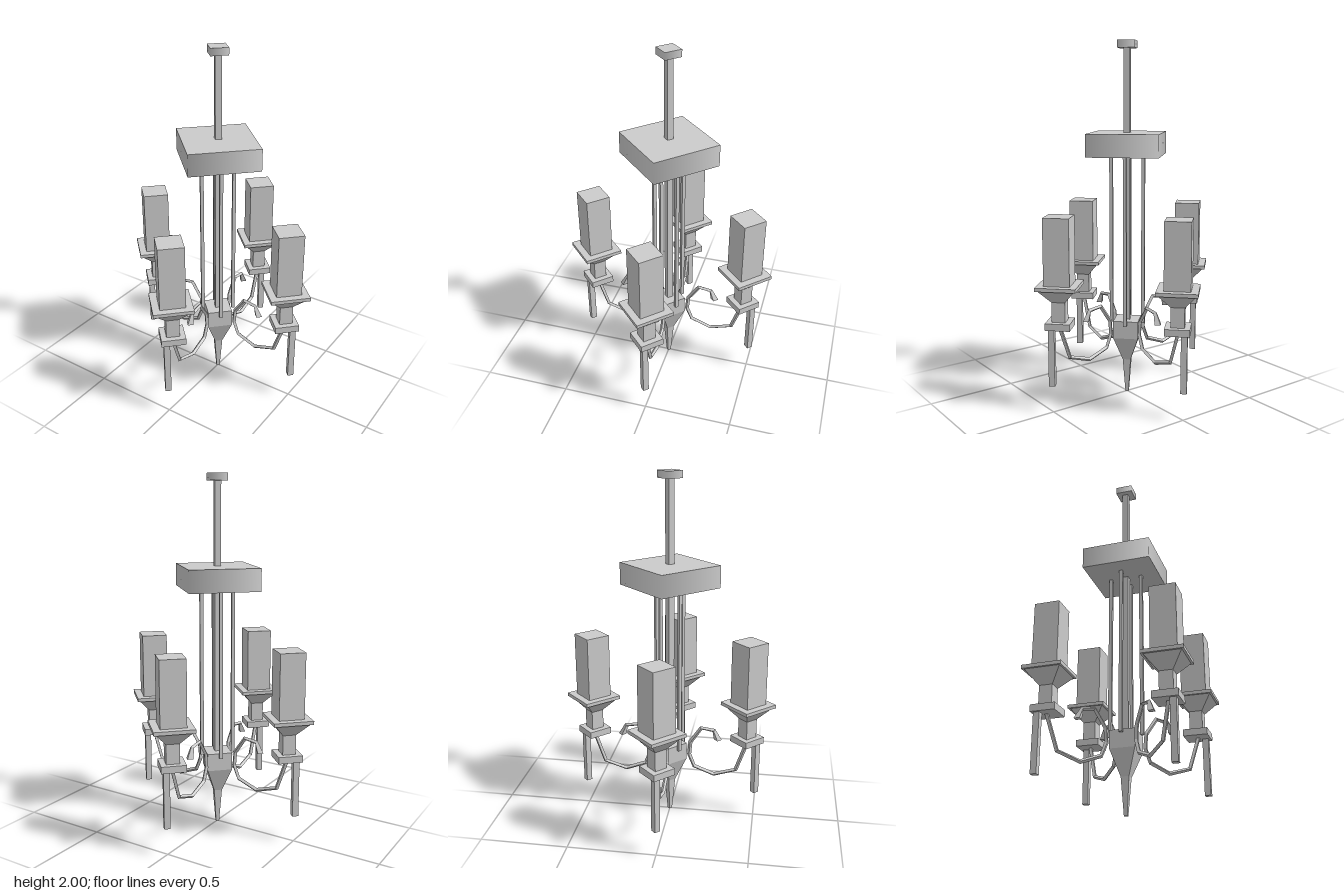
import * as THREE from 'three';

const flat = new THREE.MeshStandardMaterial({ color: 0xcccccc, flatShading: true });
const smooth = new THREE.MeshStandardMaterial({ color: 0xcccccc });

// Four-sided prism or frustum between two heights, corners on the axes
function prism(name, rBottom, rTop, y0, y1, x = 0, z = 0, material = flat) {
  const mesh = new THREE.Mesh(new THREE.CylinderGeometry(rTop, rBottom, y1 - y0, 4), material);
  mesh.position.set(x, (y0 + y1) / 2, z);
  mesh.name = name;
  return mesh;
}

// Diamond section swept along a path of [x, y, radius] in the xy plane
function sweep(path) {
  const positions = [];
  const index = [];
  const last = path.length - 1;
  path.forEach(([x, y, r], i) => {
    const p = path[Math.max(i - 1, 0)];
    const q = path[Math.min(i + 1, last)];
    const t = new THREE.Vector2(q[0] - p[0], q[1] - p[1]).normalize();
    if (i === last) t.set(0, -1); // the flared tip is cut level
    const nx = -t.y * r;
    const ny = t.x * r;
    positions.push(x + nx, y + ny, 0, x, y, r, x - nx, y - ny, 0, x, y, -r);
    if (i === last) return;
    for (let k = 0; k < 4; k++) {
      const a = i * 4 + k;
      const b = i * 4 + (k + 1) % 4;
      index.push(a, b, b + 4, a, b + 4, a + 4);
    }
  });
  const e = last * 4;
  index.push(0, 2, 1, 0, 3, 2, e, e + 1, e + 2, e, e + 2, e + 3);
  const geometry = new THREE.BufferGeometry();
  geometry.setAttribute('position', new THREE.Float32BufferAttribute(positions, 3));
  geometry.setIndex(index);
  geometry.computeVertexNormals();
  return geometry;
}

// One branch pointing along +x: scroll arm, holder, dish, candle and pendant
function createBranch() {
  const branch = new THREE.Group();
  const x = 0.45;
  const arm = new THREE.Mesh(sweep([
    [0.455, 0.48, 0.012], [0.39, 0.29, 0.012], [0.262, 0.25, 0.012],
    [0.145, 0.295, 0.012], [0.115, 0.37, 0.012], [0.122, 0.45, 0.012],
    [0.185, 0.543, 0.012], [0.258, 0.532, 0.012], [0.282, 0.475, 0.023],
  ]), flat);
  arm.name = 'scrollArm';
  branch.add(
    arm,
    prism('holderBase', 0.096, 0.096, 0.472, 0.51, x),
    prism('holderStem', 0.052, 0.052, 0.51, 0.625, x),
    prism('dishBowl', 0.052, 0.145, 0.62, 0.7, x),
    prism('dishRim', 0.156, 0.156, 0.695, 0.715, x),
    prism('candle', 0.1, 0.1, 0.715, 1.08, x),
    prism('pendantRod', 0.024, 0.024, 0.155, 0.472, 0.503),
  );
  return branch;
}

export function createModel() {
  const model = new THREE.Group();
  model.name = 'chandelier';

  // Ceiling mount and central column
  model.add(
    prism('ceilingMount', 0.068, 0.068, 1.96, 2, 0, 0, smooth),
    prism('centralRod', 0.025, 0.025, 0.43, 1.97),
    prism('crownPlate', 0.278, 0.278, 1.38, 1.505, 0, 0, smooth),
  );

  // Four thin rods between crown plate and body
  for (const sx of [-1, 1]) {
    for (const sz of [-1, 1]) {
      model.add(prism('supportRod', 0.0135, 0.0135, 0.42, 1.39, sx * 0.064, sz * 0.064));
    }
  }

  // Body narrowing to a finial
  model.add(
    prism('body', 0.1, 0.1, 0.34, 0.44),
    prism('bodyTaper', 0.032, 0.1, 0.2, 0.34),
    prism('finial', 0.013, 0.032, 0, 0.2),
  );

  // Four branches around the column
  for (let i = 0; i < 4; i++) {
    const branch = createBranch();
    branch.name = 'branch';
    branch.rotation.y = i * Math.PI / 2;
    model.add(branch);
  }
  return model;
}
